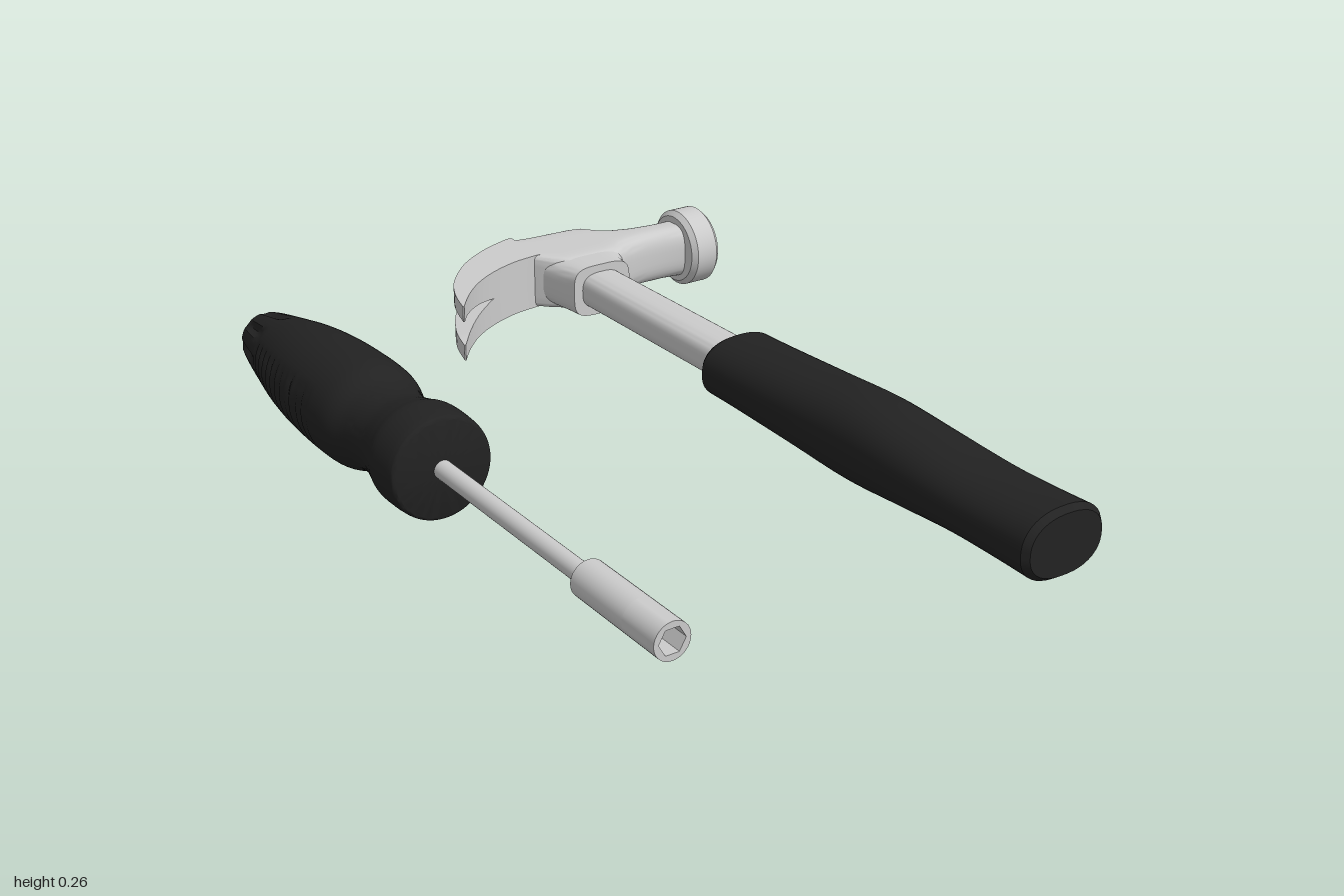
import * as THREE from 'three';
import { toCreasedNormals } from 'three/addons/utils/BufferGeometryUtils.js';

const steel = new THREE.MeshStandardMaterial({ color: 0xcccccc });
const rubber = new THREE.MeshStandardMaterial({ color: 0x222222 });

// Skin a list of equal-length rings and close both ends; winding is made to face outward
function loft(rings, crease = 0.6) {
  const n = rings[0].length, pts = rings.flat(), tris = [];
  for (let i = 0; i + 1 < rings.length; i++) {
    for (let j = 0; j < n; j++) {
      const a = i * n + j, b = i * n + (j + 1) % n;
      tris.push([a, b, b + n], [a, b + n, a + n]);
    }
  }
  for (const i of [0, rings.length - 1]) {
    const mid = new THREE.Vector3();
    rings[i].forEach(p => mid.addScaledVector(p, 1 / n));
    const c = pts.push(mid) - 1;
    for (let j = 0; j < n; j++) {
      const a = i * n + j, b = i * n + (j + 1) % n;
      tris.push(i ? [a, b, c] : [b, a, c]);
    }
  }
  let volume = 0;
  const cross = new THREE.Vector3();
  for (const [a, b, c] of tris) volume += pts[a].dot(cross.crossVectors(pts[b], pts[c]));
  const order = volume < 0 ? tris.map(t => [t[0], t[2], t[1]]) : tris;
  const geo = new THREE.BufferGeometry().setFromPoints(order.flat().map(k => pts[k]));
  return toCreasedNormals(geo, crease);
}

// Rounded cross-section: n = 2 is an ellipse, larger n is boxier
function oval(a, b, n, count = 40) {
  return Array.from({ length: count }, (_, i) => {
    const t = (i + 0.5) / count * Math.PI * 2, c = Math.cos(t), s = Math.sin(t);
    return [a * Math.sign(c) * Math.abs(c) ** (2 / n), b * Math.sign(s) * Math.abs(s) ** (2 / n)];
  });
}
const ringZ = (z, cx, a, b, n) => oval(a, b, n).map(([u, v]) => new THREE.Vector3(cx + u, v, z));
const ringX = (x, z0, z1, b, n) =>
  oval((z1 - z0) / 2, b, n).map(([u, v]) => new THREE.Vector3(x, v, (z0 + z1) / 2 + u));

function add(group, name, geo, material) {
  const mesh = new THREE.Mesh(geo, material);
  mesh.name = name;
  group.add(mesh);
  return mesh;
}

const smoothCurve = points => new THREE.SplineCurve(points.map(p => new THREE.Vector2(...p)));

function makeHammer() {
  const g = new THREE.Group();
  g.name = 'hammer';
  const cx = 0.29;

  // Grip: constant width, waisted thickness, softened ends
  const grip = smoothCurve([[-0.105, 0.077], [0, 0.08], [0.2, 0.09], [0.4, 0.1],
    [0.58, 0.088], [0.75, 0.075], [0.88, 0.076], [0.985, 0.081]]).getPoints(40);
  const gripRings = grip.map(p => ringZ(p.x, cx, 0.11, p.y, 2.3));
  gripRings.unshift(ringZ(-0.12, cx, 0.098, 0.068, 2.3));
  gripRings.push(ringZ(1, cx, 0.098, 0.07, 2.3));
  add(g, 'hammerGrip', loft(gripRings), rubber);

  add(g, 'hammerShaft', loft([-0.8, -0.1].map(z => ringZ(z, cx, 0.06, 0.048, 2.8))), steel);

  // Head body, necking down toward the striking face: x, z start, z end, boxiness
  const body = [[0.17, -1, -0.85, 10], [0.2, -1, -0.81, 8], [0.24, -1, -0.77, 7],
    [0.36, -1, -0.765, 6], [0.39, -0.997, -0.77, 5], [0.415, -0.968, -0.785, 4],
    [0.45, -0.94, -0.8, 3.5], [0.5, -0.92, -0.809, 3.2], [0.56, -0.912, -0.809, 3],
    [0.6, -0.913, -0.803, 3], [0.64, -0.92, -0.795, 3]];
  add(g, 'hammerHead', loft(body.map(([x, a, b, n]) => ringX(x, a, b, 0.072, n))), steel);

  // Socket flaring from the shaft into the head
  const socket = [[-0.71, 0.205, 0.375], [-0.75, 0.2, 0.383], [-0.785, 0.193, 0.405],
    [-0.82, 0.186, 0.43], [-0.86, 0.18, 0.44]];
  add(g, 'headSocket', loft(socket.map(([z, a, b]) =>
    ringZ(z, (a + b) / 2, (b - a) / 2, 0.068, 4))), steel);

  // Striking face with chamfered rims
  const face = [[0, 0.615], [0.09, 0.615], [0.103, 0.628], [0.103, 0.688], [0.092, 0.7], [0, 0.7]]
    .map(p => new THREE.Vector2(...p));
  const faceGeo = new THREE.LatheGeometry(face, 48).toNonIndexed();
  faceGeo.rotateZ(-Math.PI / 2).translate(0, 0, -0.857);
  add(g, 'strikingFace', toCreasedNormals(faceGeo, 0.5), steel);

  // Two curved claw prongs with a tapering slot between them
  const outer = smoothCurve([[0.19, -1], [0.17, -1], [0.08, -0.962], [-0.01, -0.9],
    [-0.09, -0.81], [-0.135, -0.725], [-0.16, -0.642]]);
  const inner = smoothCurve([[0.19, -0.85], [0.17, -0.85], [0.1, -0.838], [0.02, -0.805],
    [-0.05, -0.759], [-0.11, -0.7], [-0.157, -0.64]]);
  for (const side of [1, -1]) {
    const rings = [];
    for (let i = 0; i <= 24; i++) {
      const o = outer.getPoint(i / 24), p = inner.getPoint(i / 24);
      const gap = x => Math.max(0, Math.min(0.031, (0.02 - x) * 0.2));
      rings.push([[o, gap(o.x)], [o, 0.072], [p, 0.072], [p, gap(p.x)]]
        .map(([q, y]) => new THREE.Vector3(q.x, side * y, q.y)));
    }
    add(g, side > 0 ? 'upperClaw' : 'lowerClaw', loft(rings), steel);
  }
  g.position.y = 0.133;
  return g;
}

function makeScrewdriver() {
  const g = new THREE.Group();
  g.name = 'screwdriver';

  // Handle: waisted profile, ribbed flanks and flutes toward the butt
  const profile = smoothCurve([[0, 0.108], [-0.012, 0.122], [-0.09, 0.125], [-0.13, 0.116],
    [-0.19, 0.104], [-0.26, 0.108], [-0.34, 0.129], [-0.5, 0.129], [-0.64, 0.117],
    [-0.77, 0.094], [-0.87, 0.073], [-0.905, 0.06], [-0.92, 0.035]]).getPoints(150);
  const count = 64;
  const rings = profile.map(({ x: z, y: r }) => Array.from({ length: count }, (_, j) => {
    const t = j / count * Math.PI * 2;
    let d = 0;
    if (z < -0.38 && z > -0.77 && Math.abs(Math.cos(t)) > 0.85) {
      d = 0.005 * Math.max(0, Math.sin(z * Math.PI * 2 / 0.032));
    }
    if (z < -0.76 && z > -0.91) {
      d = 0.012 * Math.sin((-z - 0.76) / 0.15 * Math.PI) * Math.max(0, Math.cos(t * 8));
    }
    return new THREE.Vector3((r - d) * Math.cos(t), (r - d) * Math.sin(t), z);
  }));
  add(g, 'screwdriverHandle', loft(rings, 0.7), rubber);

  const rod = (r, z0, z1) => new THREE.CylinderGeometry(r, r, z1 - z0, 32)
    .rotateX(Math.PI / 2).translate(0, 0, (z0 + z1) / 2);
  add(g, 'screwdriverShaft', rod(0.022, -0.02, 0.6), steel);
  add(g, 'socketBase', rod(0.042, 0.58, 0.76), steel);

  // Hollow hexagonal socket tip
  const ring = new THREE.Shape().absarc(0, 0, 0.042, 0, Math.PI * 2);
  const hex = Array.from({ length: 6 }, (_, i) =>
    new THREE.Vector2(0.031 * Math.cos(i * Math.PI / 3), 0.031 * Math.sin(i * Math.PI / 3)));
  ring.holes.push(new THREE.Path(hex));
  const tip = new THREE.ExtrudeGeometry(ring, { depth: 0.107, bevelEnabled: false, curveSegments: 16 });
  add(g, 'socketTip', toCreasedNormals(tip.translate(0, 0, 0.76), 0.5), steel);

  g.position.set(-0.572, 0.132, 0);
  return g;
}

export function createModel() {
  const model = new THREE.Group();
  model.name = 'handTools';
  model.add(makeHammer(), makeScrewdriver());
  return model;
}
